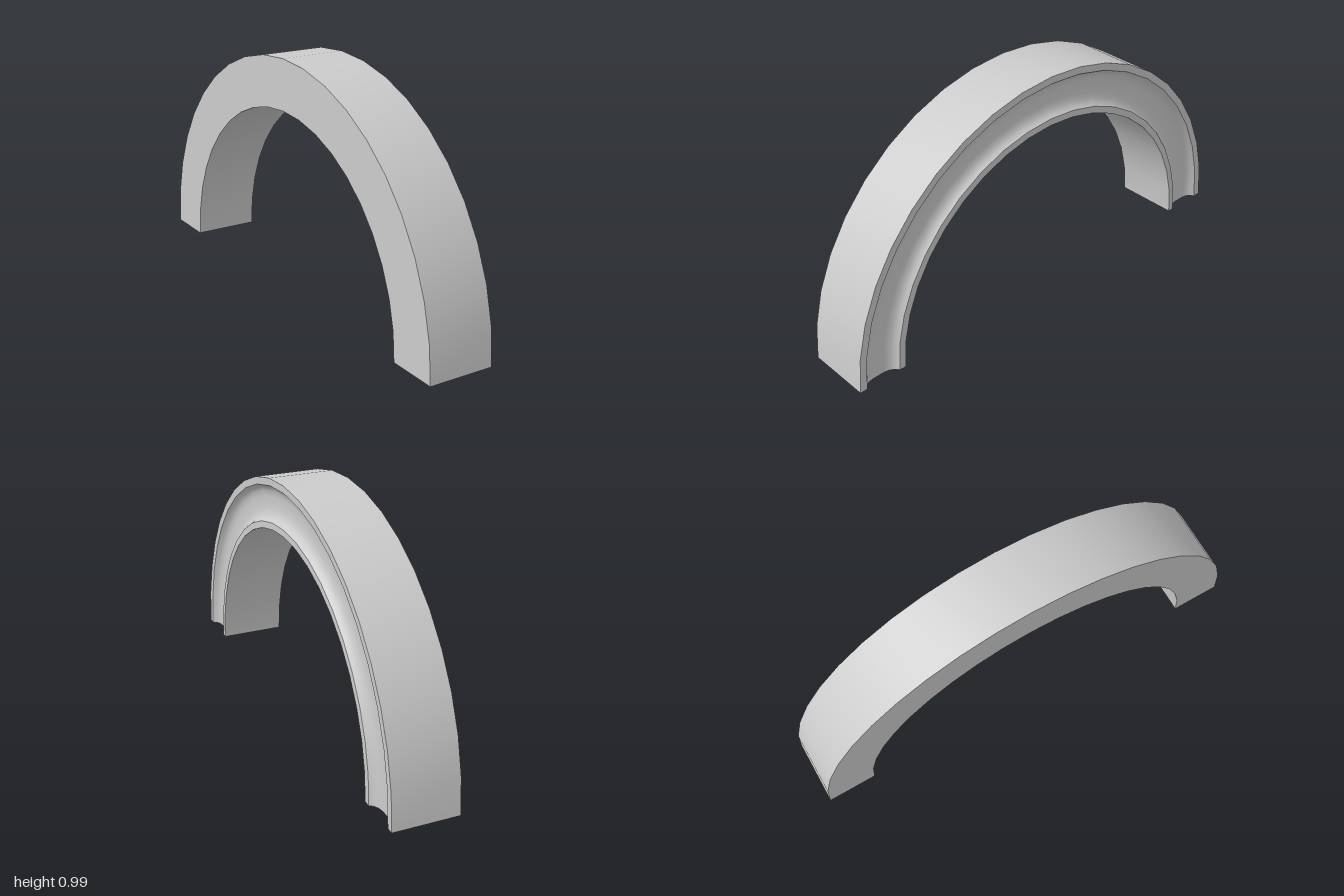
import * as THREE from 'three';
import { toCreasedNormals } from 'three/addons/utils/BufferGeometryUtils.js';

export function createModel() {
  const group = new THREE.Group();
  group.name = 'archMoulding';

  // closed cross-section as (radius, x): flat back, hollowed face on +x with two lips
  const section = [
    [1, -0.14], [1, 0.14],
    [0.968, 0.139], [0.955, 0.122], [0.94, 0.112], [0.915, 0.108],
    [0.865, 0.108], [0.84, 0.113], [0.822, 0.124], [0.812, 0.139],
    [0.783, 0.14], [0.783, -0.14], [1, -0.14],
  ].map(([r, x]) => new THREE.Vector2(r, x));

  // half-circle sweep, open at both feet
  const lathe = new THREE.LatheGeometry(section, 20, Math.PI, Math.PI);
  lathe.rotateZ(-Math.PI / 2);
  lathe.scale(1, 0.988, 1);
  const geometry = toCreasedNormals(lathe, THREE.MathUtils.degToRad(42));

  const arch = new THREE.Mesh(
    geometry,
    new THREE.MeshStandardMaterial({ color: 0xcccccc, side: THREE.DoubleSide })
  );
  arch.name = 'arch';
  group.add(arch);
  return group;
}
